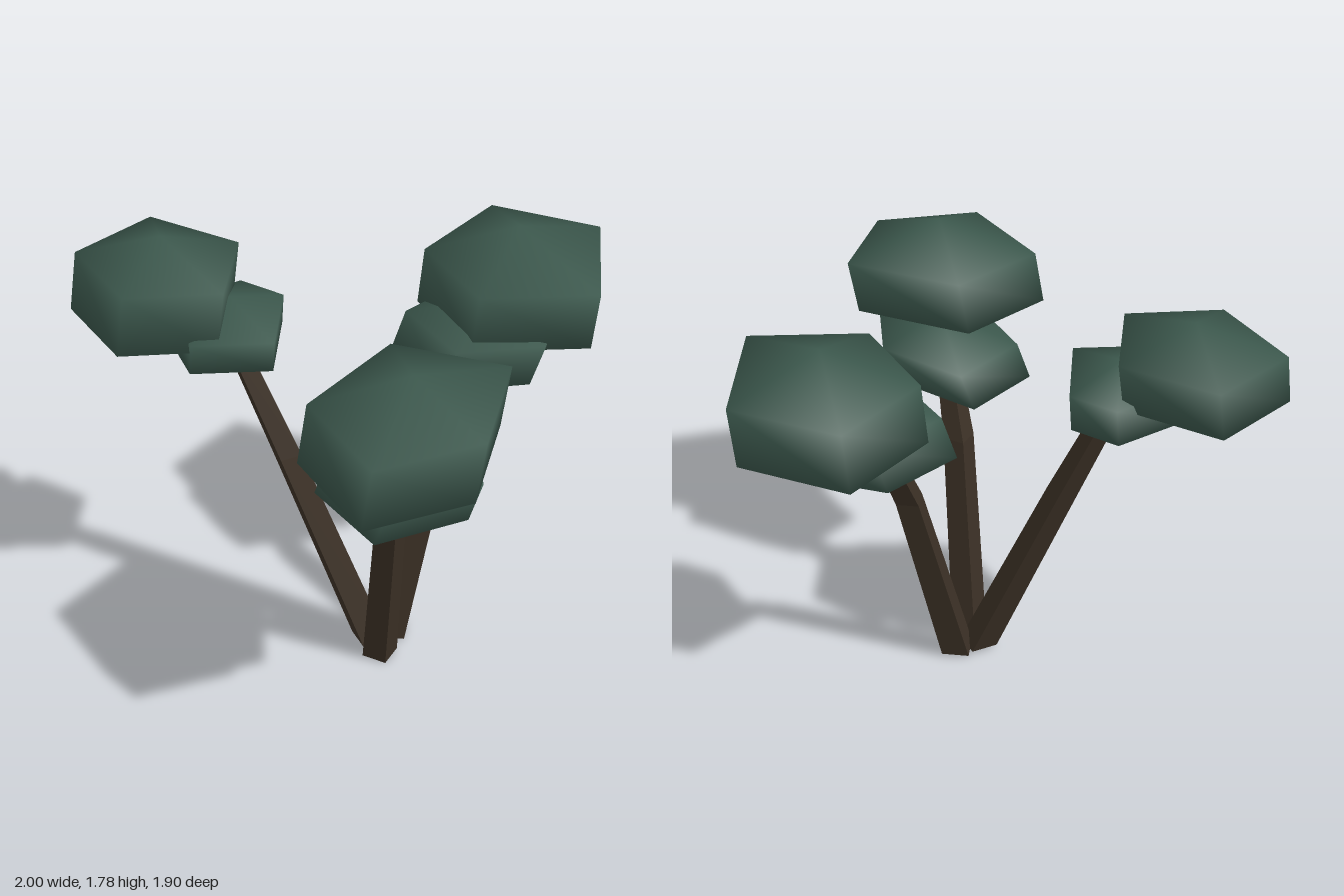
import * as THREE from 'three';

// Closed skin over stacked rings (top to bottom) with a peak at each end.
// Each ring runs by rising angle from +x towards +z.
function loft(peak, rings, base) {
  const n = rings[0].length, last = 1 + (rings.length - 1) * n, end = 1 + rings.length * n;
  const index = [];
  for (let i = 0; i < n; i++) {
    const j = (i + 1) % n;
    index.push(0, 1 + j, 1 + i, end, last + i, last + j);
    for (let r = 1; r < last; r += n) {
      index.push(r + j, r + n + j, r + n + i, r + j, r + n + i, r + i);
    }
  }
  const geometry = new THREE.BufferGeometry();
  geometry.setAttribute('position',
    new THREE.Float32BufferAttribute([peak, ...rings.flat(), base].flat(), 3));
  geometry.setIndex(index);
  geometry.computeVertexNormals();
  return geometry;
}

// Five-sided leaf clump: outline of [x, z], heights of peak, both rims and underside,
// sideways shift of the lower rim, and slope of the rims along x and z
function clumpGeometry({ outline, y, shift = [0, 0], slope = [0, 0] }) {
  const cx = outline.reduce((s, p) => s + p[0], 0) / outline.length;
  const cz = outline.reduce((s, p) => s + p[1], 0) / outline.length;
  const sorted = [...outline].sort((a, b) =>
    Math.atan2(a[1] - cz, a[0] - cx) - Math.atan2(b[1] - cz, b[0] - cx));
  const rim = (h, k) => sorted.map(([x, z]) => [
    x + shift[0] * k, h + (x - cx) * slope[0] + (z - cz) * slope[1], z + shift[1] * k]);
  return loft([cx, y[0], cz], [rim(y[1], 0), rim(y[2], 1)],
    [cx + shift[0], y[3], cz + shift[1]]);
}

// Four-sided bent trunk with a corner facing the way it leans; path of [x, y, z, radius]
function trunkGeometry(path) {
  const a = path[0], b = path[path.length - 1];
  const lean = Math.atan2(b[2] - a[2], b[0] - a[0]);
  const rings = path.map(([x, y, z, r]) => [0, 1, 2, 3].map((i) => {
    const t = lean + i * Math.PI / 2;
    return [x + r * Math.cos(t), y, z + r * Math.sin(t)];
  })).reverse();
  const geometry = loft(b.slice(0, 3), rings, a.slice(0, 3)).toNonIndexed();
  geometry.computeVertexNormals();
  return geometry;
}

const trees = [
  { // leaning left
    name: 'leftTree',
    trunk: [[-0.03, 0.01, 0.04, 0.08], [0.2, 0.87, 0.02, 0.065], [0.36, 1.25, -0.02, 0.05]],
    crown: {
      outline: [[1, -0.08], [0.71, -0.44], [0.3, -0.28], [0.3, 0.14], [0.72, 0.35]],
      y: [1.74, 1.61, 1.36, 1.25], shift: [-0.02, -0.02],
    },
    lower: {
      outline: [[0.18, -0.22], [0.2, 0.14], [0.53, 0.27], [0.8, -0.02], [0.52, -0.3]],
      y: [1.47, 1.39, 1.21, 1.12], shift: [-0.05, -0.03],
    },
  },
  { // leaning forwards
    name: 'frontTree',
    trunk: [[-0.14, 0, 0.13, 0.075], [-0.185, 0.88, 0.31, 0.065], [-0.2, 1.14, 0.42, 0.05]],
    crown: {
      outline: [[0.15, 0.62], [-0.16, 0.26], [-0.59, 0.4], [-0.57, 0.85], [-0.15, 0.94]],
      y: [1.73, 1.6, 1.36, 1.25], shift: [-0.05, 0.01], slope: [0.08, -0.05],
    },
    lower: {
      outline: [[-0.13, 0.19], [0.07, 0.48], [-0.08, 0.81], [-0.44, 0.74], [-0.46, 0.31]],
      y: [1.37, 1.27, 1.11, 1.02], shift: [-0.05, -0.02], slope: [0.06, 0.08],
    },
  },
  { // leaning back and right
    name: 'backTree',
    trunk: [[-0.13, 0.01, 0.03, 0.08], [-0.36, 0.88, -0.235, 0.065], [-0.5, 1.38, -0.39, 0.05]],
    crown: {
      outline: [[-0.58, -0.95], [-0.95, -0.85], [-0.93, -0.45], [-0.58, -0.29], [-0.36, -0.6]],
      y: [1.78, 1.67, 1.44, 1.34], shift: [-0.05, 0.03],
    },
    lower: {
      outline: [[-0.25, -0.44], [-0.44, -0.15], [-0.73, -0.29], [-0.69, -0.6], [-0.35, -0.62]],
      y: [1.56, 1.48, 1.34, 1.26], shift: [0, -0.02],
    },
  },
];

export function createModel() {
  const bark = new THREE.MeshStandardMaterial({ color: 0x3b3025 });
  bark.name = 'bark';
  const leaves = new THREE.MeshStandardMaterial({ color: 0x3c584d });
  leaves.name = 'leaves';

  const model = new THREE.Group();
  model.name = 'treeCluster';
  for (const { name, trunk, crown, lower } of trees) {
    const tree = new THREE.Group();
    tree.name = name;
    const add = (part, geometry, material) => {
      const mesh = new THREE.Mesh(geometry, material);
      mesh.name = part;
      tree.add(mesh);
    };
    add('trunk', trunkGeometry(trunk), bark);
    add('crown', clumpGeometry(crown), leaves);
    add('lowerLeaves', clumpGeometry(lower), leaves);
    model.add(tree);
  }
  return model;
}
